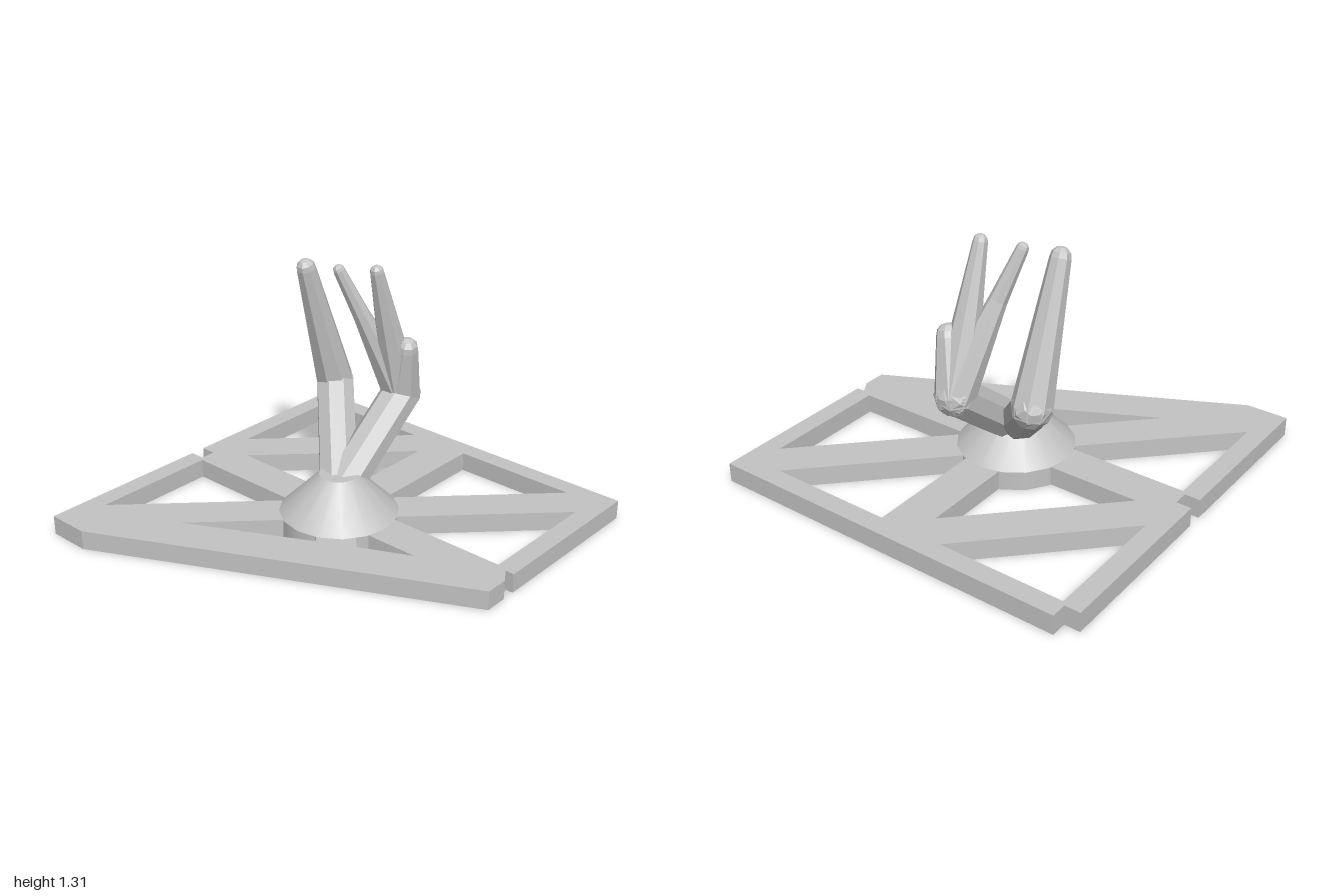
import * as THREE from 'three';

export function createModel() {
  const model = new THREE.Group();
  const grey = new THREE.MeshStandardMaterial({ color: 0xc4c4c4 });
  grey.name = 'plain grey';
  const facetedGrey = grey;

  const add = (parent, name, geometry, material = grey) => {
    const mesh = new THREE.Mesh(geometry, material);
    mesh.name = name;
    parent.add(mesh);
    return mesh;
  };
  const points = (list) => list.map(([x, z]) => new THREE.Vector2(x, z));

  // Braced base plate, outlined in x and z, with notches on its edges
  const outline = new THREE.Shape(points([
    [-0.92, -1], [1, -1], [1, -0.08], [0.955, -0.08], [1, -0.01], [1, 0.11],
    [-0.78, 1], [-1, 1], [-1, 0.08], [-0.92, 0.08], [-0.92, 0], [-1, 0],
    [-1, -0.92], [-0.92, -0.92],
  ]));
  const cutouts = [
    [[-0.9, -0.9], [-0.24, -0.9], [-0.9, -0.24]],
    [[-0.1, -0.76], [-0.1, -0.1], [-0.76, -0.1]],
    [[0.1, -0.9], [0.76, -0.9], [0.1, -0.24]],
    [[0.9, -0.76], [0.9, -0.1], [0.24, -0.1]],
    [[-0.9, 0.1], [-0.24, 0.1], [-0.9, 0.76]],
    [[0.19, 0.1], [0.56, 0.1], [0.31, 0.22]],
    [[-0.02, 0.16], [0.13, 0.31], [-0.48, 0.62]],
  ];
  for (const cutout of cutouts) outline.holes.push(new THREE.Path(points(cutout)));
  const plate = new THREE.ExtrudeGeometry(outline, { depth: 0.1, bevelEnabled: false });
  plate.rotateX(Math.PI / 2).translate(0, 0.1, 0);
  add(model, 'basePlate', plate);

  // Hub passing through the plate, with a cone on top
  add(model, 'hub', new THREE.CylinderGeometry(0.3, 0.3, 0.1, 16)).position.y = 0.05;
  add(model, 'cone', new THREE.CylinderGeometry(0.1, 0.3, 0.2, 16)).position.y = 0.2;

  // Eight-sided tapered limb with rounded ends, running from a to b
  const limb = (parent, name, a, b, ra, rb) => {
    const start = new THREE.Vector3(...a);
    const along = new THREE.Vector3(...b).sub(start);
    const length = along.length();
    const profile = [];
    for (let i = 0; i <= 3; i++) {
      const t = (i / 3) * Math.PI / 2;
      profile.push(new THREE.Vector2(ra * Math.sin(t), -ra * Math.cos(t)));
    }
    for (let i = 3; i >= 0; i--) {
      const t = (i / 3) * Math.PI / 2;
      profile.push(new THREE.Vector2(rb * Math.sin(t), length + rb * Math.cos(t)));
    }
    // Separate triangles give every facet a flat normal
    const geometry = new THREE.LatheGeometry(profile, 8, Math.PI / 8).toNonIndexed();
    geometry.computeVertexNormals();
    const mesh = add(parent, name, geometry, facetedGrey);
    mesh.position.copy(start);
    mesh.quaternion.setFromUnitVectors(new THREE.Vector3(0, 1, 0), along.normalize());
  };

  const root = [0, 0.2, 0];

  // Single bent finger on the model's right
  const sideFinger = new THREE.Group();
  sideFinger.name = 'sideFinger';
  model.add(sideFinger);
  const sideElbow = [-0.35, 0.58, -0.36];
  limb(sideFinger, 'lowerSegment', root, sideElbow, 0.1, 0.1);
  limb(sideFinger, 'upperSegment', sideElbow, [-0.35, 1.245, -0.15], 0.1, 0.05);

  // Rear arm that splits into three digits
  const rearArm = new THREE.Group();
  rearArm.name = 'rearArm';
  model.add(rearArm);
  const elbow = [0, 0.58, -0.475];
  const knuckle = [-0.11, 1.02, -0.29];
  limb(rearArm, 'lowerSegment', root, elbow, 0.1, 0.1);
  limb(rearArm, 'middleDigit', elbow, [0, 1.275, -0.27], 0.1, 0.035);
  limb(rearArm, 'outerDigitBase', elbow, knuckle, 0.1, 0.045);
  limb(rearArm, 'outerDigitTip', knuckle, [-0.18, 1.26, -0.2], 0.045, 0.03);
  limb(rearArm, 'shortDigit', elbow, [0.065, 0.85, -0.43], 0.1, 0.06);

  return model;
}
